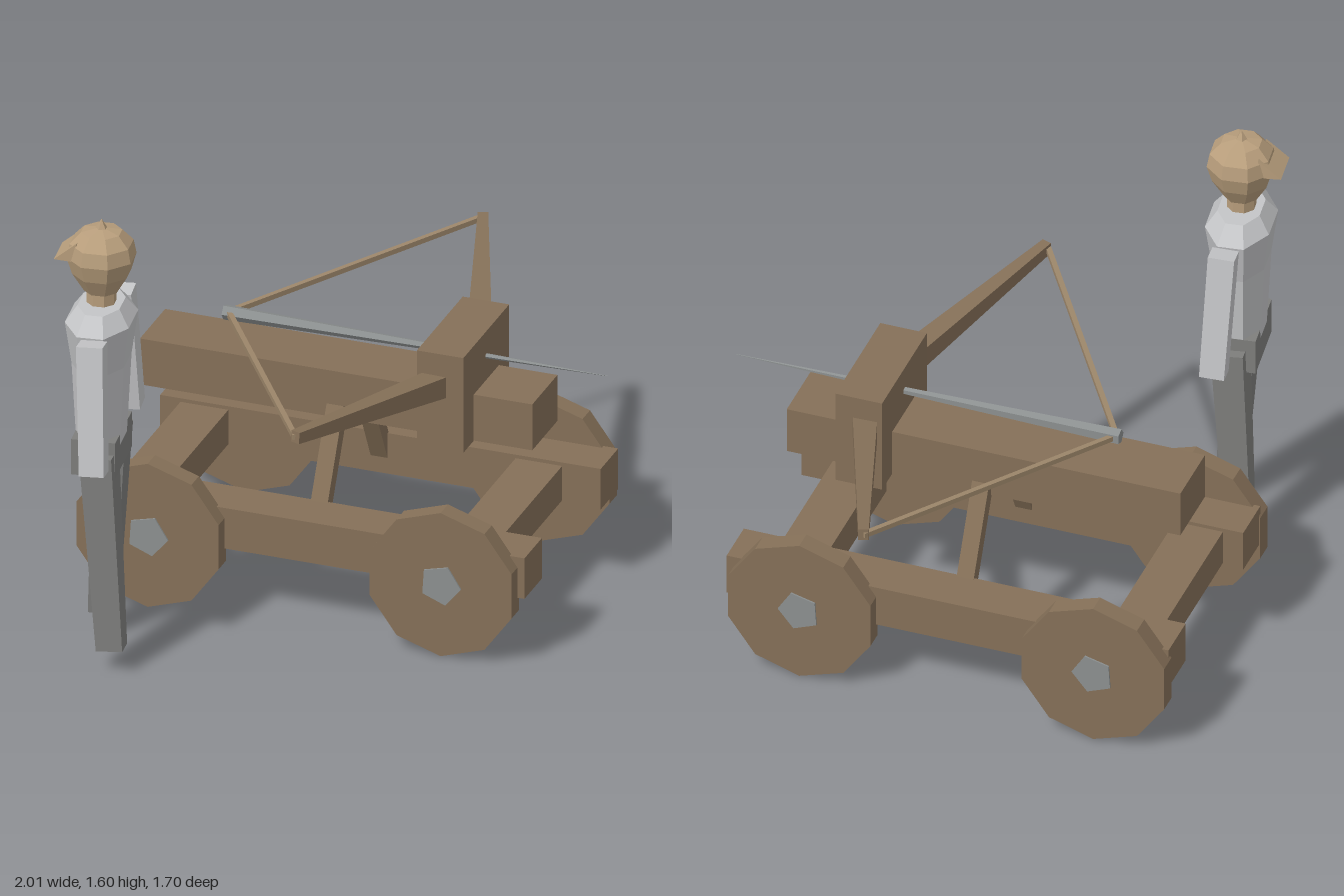
import * as THREE from 'three';

const V = (x, y, z) => new THREE.Vector3(x, y, z);
const mat = (name, color, extra = {}) => {
  const m = new THREE.MeshStandardMaterial({ color, flatShading: true, ...extra });
  m.name = name;
  return m;
};

export function createModel() {
  const wood = mat('wood', 0x857058);
  const steel = mat('steel', 0x8c9090);
  const cord = mat('cord', 0x9c866a);
  const shirt = mat('shirt', 0xc4c5c7);
  const trousers = mat('trousers', 0x7e7e7c);
  const skin = mat('skin', 0xb89e7c);
  const model = new THREE.Group();

  const add = (parent, name, geo, material) => {
    const m = new THREE.Mesh(geo, material);
    m.name = name;
    parent.add(m);
    return m;
  };
  // box given by its min and max on each axis
  const block = (parent, name, material, x0, x1, y0, y1, z0, z1) => {
    const m = add(parent, name, new THREE.BoxGeometry(x1 - x0, y1 - y0, z1 - z0), material);
    m.position.set((x0 + x1) / 2, (y0 + y1) / 2, (z0 + z1) / 2);
    return m;
  };
  // tapered square bar from a to b; [width, height] at each end
  const bar = (parent, name, material, a, b, s0, s1, up = V(0, 1, 0)) => {
    const g = new THREE.BoxGeometry(1, 1, a.distanceTo(b));
    g.translate(0, 0, a.distanceTo(b) / 2);
    const p = g.attributes.position;
    for (let i = 0; i < p.count; i++) {
      const s = p.getZ(i) > 1e-6 ? s1 : s0;
      p.setXY(i, p.getX(i) * s[0], p.getY(i) * s[1]);
    }
    const m = new THREE.Mesh(g, material);
    m.name = name;
    m.up.copy(up);
    m.position.copy(a);
    m.lookAt(b);
    parent.add(m);
    return m;
  };

  // ---- siege engine: local +x is the firing direction ----
  const engine = new THREE.Group();
  engine.name = 'siegeEngine';
  engine.rotation.y = THREE.MathUtils.degToRad(-35);
  model.add(engine);
  const mid = -0.05; // centre line in local z

  // carriage frame
  for (const s of [-1, 1]) {
    const c = mid + s * 0.3575;
    block(engine, 'sideRail', wood, -0.722, 0.842, 0.235, 0.385, c - 0.082, c + 0.082);
  }
  for (const [x0, x1] of [[-0.65, -0.48], [0.54, 0.705]])
    block(engine, 'crossBeam', wood, x0, x1, 0.245, 0.372, mid - 0.3, mid + 0.3);

  // wheels with pentagonal hub plates
  for (const s of [-1, 1]) for (const x of [-0.475, 0.565]) {
    const wheel = new THREE.Group();
    wheel.name = 'wheel';
    wheel.position.set(x, 0.265, mid + s * 0.46);
    engine.add(wheel);
    const rim = add(wheel, 'wheelDisc', new THREE.CylinderGeometry(0.265, 0.265, 0.07, 10), wood);
    rim.rotation.x = Math.PI / 2;
    const hub = add(wheel, 'hub', new THREE.CylinderGeometry(0.074, 0.074, 0.008, 5), steel);
    hub.rotation.set(Math.PI / 2, 0.25, 0);
    hub.position.z = s * 0.037;
  }

  // stock, bow housing and the struts holding the stock
  block(engine, 'stock', wood, -0.645, 0.748, 0.62, 0.79, mid - 0.118, mid + 0.118);
  block(engine, 'bowHousing', wood, 0.375, 0.54, 0.619, 0.97, mid - 0.215, mid + 0.215);
  for (const s of [-1, 1])
    bar(engine, 'strut', wood, V(0.055, 0.3, mid + s * 0.3), V(0.055, 0.665, mid + s * 0.115), [0.06, 0.05], [0.06, 0.05]);

  // bow arms and string
  const nock = V(-0.375, 0.88, mid);
  for (const s of [-1, 1]) {
    const tip = V(0.195, 0.925, mid + s * 0.88);
    bar(engine, 'bowArm', wood, V(0.455, 0.845, mid + s * 0.16), tip, [0.085, 0.078], [0.035, 0.04]);
    bar(engine, 'bowString', cord, tip, nock, [0.018, 0.018], [0.018, 0.018]);
  }

  // bolt tapering to a needle point
  const bolt = add(engine, 'bolt', new THREE.CylinderGeometry(0.001, 0.027, 1.36, 5), steel);
  bolt.rotation.z = -Math.PI / 2;
  bolt.position.set(0.29, 0.88, mid);

  // ---- standing figure: local +z is its facing direction ----
  const figure = new THREE.Group();
  figure.name = 'figure';
  figure.position.set(-0.87, 0, 0.36);
  figure.rotation.y = Math.atan2(-0.89, -0.455);
  model.add(figure);

  // lathe turned into an eight-sided oval form
  const oval = (name, profile, depth, material) => {
    const g = new THREE.LatheGeometry(profile.map(([r, y]) => new THREE.Vector2(r, y)), 8, Math.PI / 8);
    g.scale(1, 1, depth);
    return add(figure, name, g, material);
  };
  oval('torso', [[0, 0.78], [0.13, 0.78], [0.155, 1.08], [0.19, 1.235], [0.125, 1.29], [0, 1.29]], 0.62, shirt);
  oval('neck', [[0.05, 1.28], [0.05, 1.36]], 1, skin);
  oval('head', [[0, 1.335], [0.06, 1.335], [0.1, 1.4], [0.118, 1.46], [0.108, 1.51], [0.07, 1.55], [0, 1.565]], 1, skin);
  const tuft = add(figure, 'hairTuft', new THREE.ConeGeometry(0.035, 0.06, 5), skin);
  tuft.position.y = 1.565;

  // wedge-shaped peak at the brow
  const wedge = new THREE.Shape([new THREE.Vector2(0.07, 1.455), new THREE.Vector2(0.148, 1.46), new THREE.Vector2(0.07, 1.525)]);
  const peak = add(figure, 'capPeak', new THREE.ExtrudeGeometry(wedge, { depth: 0.13, bevelEnabled: false }), skin);
  peak.rotation.y = -Math.PI / 2;
  peak.position.x = 0.065;

  // limbs, legs in a slight stride
  block(figure, 'hips', trousers, -0.125, 0.125, 0.7, 0.83, -0.075, 0.075);
  const front = V(0, 0, 1);
  for (const s of [-1, 1]) {
    bar(figure, 'arm', shirt, V(s * 0.215, 1.235, -0.015), V(s * 0.272, 0.785, -0.035), [0.075, 0.09], [0.075, 0.085], front);
    bar(figure, 'leg', trousers, V(s * 0.105, 0.78, -0.015), V(s * 0.138, 0.08, -0.02 - s * 0.045), [0.12, 0.11], [0.075, 0.09], front);
  }
  return model;
}
